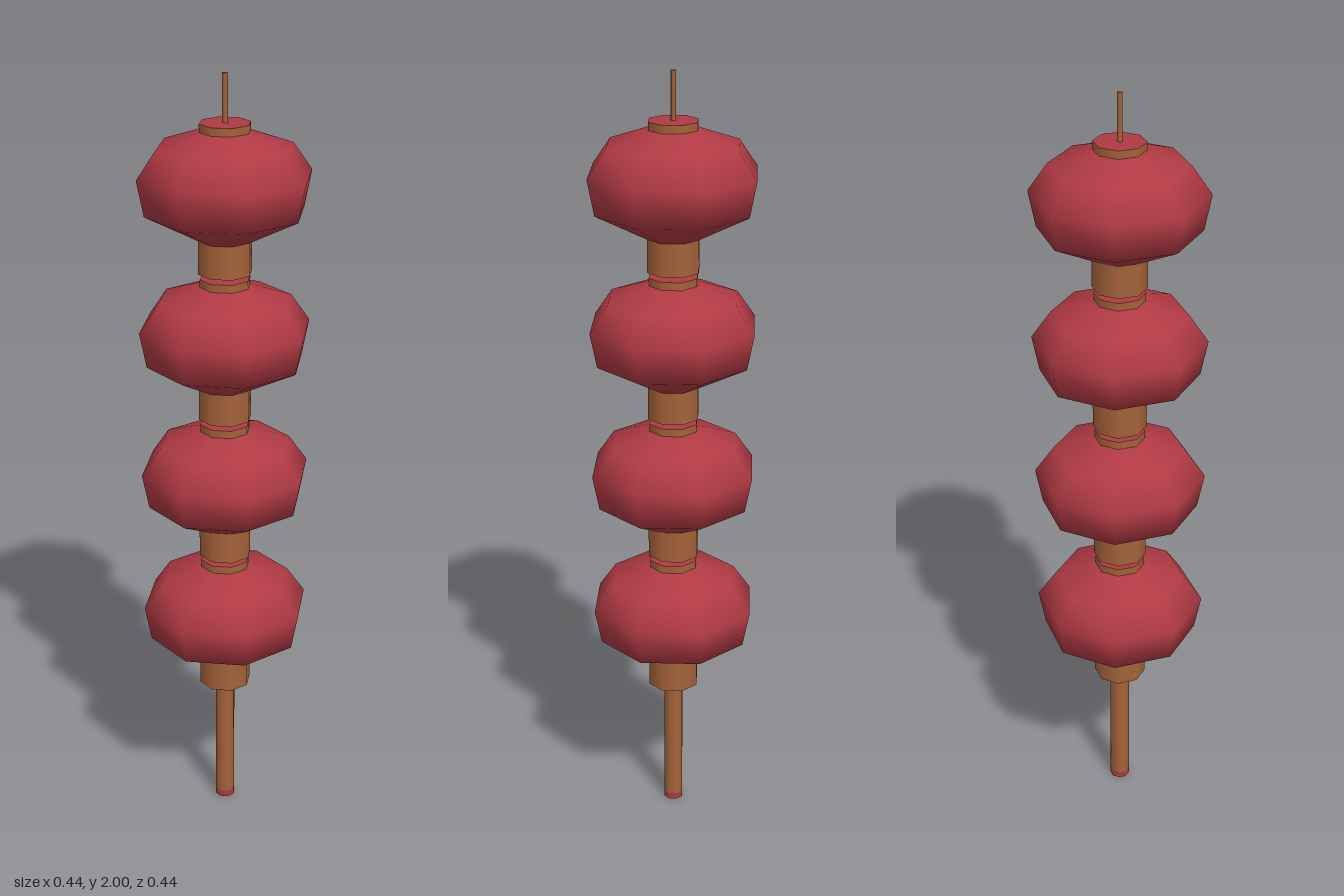
import * as THREE from 'three';

export function createModel() {
  const red = new THREE.MeshStandardMaterial({ color: 0xb03a44 });
  red.name = 'lanternRed';
  const brown = new THREE.MeshStandardMaterial({ color: 0xa5633a, side: THREE.DoubleSide });
  brown.name = 'woodBrown';

  const model = new THREE.Group();
  model.name = 'lanternString';

  // Upright cylinder spanning y0..y1
  function tube(parent, name, r, y0, y1, sides, material, open = false) {
    const geometry = new THREE.CylinderGeometry(r, r, y1 - y0, sides, 1, open);
    const mesh = new THREE.Mesh(geometry, material);
    mesh.position.y = (y0 + y1) / 2;
    mesh.name = name;
    parent.add(mesh);
  }

  // Eight-sided paper body, from the collar up to the cap
  const profile = [
    [0, 0.084], [0.068, 0.084], [0.2, 0.153], [0.218, 0.243],
    [0.17, 0.312], [0.064, 0.349], [0, 0.349],
  ].map(([r, y]) => new THREE.Vector2(r, y));
  const bodyGeometry = new THREE.LatheGeometry(profile.slice(1, 6), 8);
  const floorGeometry = new THREE.LatheGeometry(profile.slice(0, 2), 8);

  // Four identical lanterns, evenly spaced
  for (let i = 0; i < 4; i++) {
    const lantern = new THREE.Group();
    lantern.name = 'lantern' + (i + 1);
    lantern.position.y = 0.365 + i * 0.3827;

    const body = new THREE.Mesh(bodyGeometry, red);
    body.name = 'paperBody';
    const floor = new THREE.Mesh(floorGeometry, red);
    floor.name = 'bodyFloor';
    lantern.add(body, floor);

    tube(lantern, 'collar', 0.068, 0, 0.086, 8, brown, true);
    tube(lantern, 'cap', 0.064, 0.345, 0.369, 8, [brown, red, brown]);
    model.add(lantern);
  }

  // Cord through all lanterns
  tube(model, 'cord', 0.007, 0.4, 2, 6, brown);

  // Hanging tassel with a red tip
  tube(model, 'tassel', 0.026, 0.018, 0.45, 8, brown);
  tube(model, 'tasselTip', 0.026, 0, 0.018, 8, red);

  return model;
}
